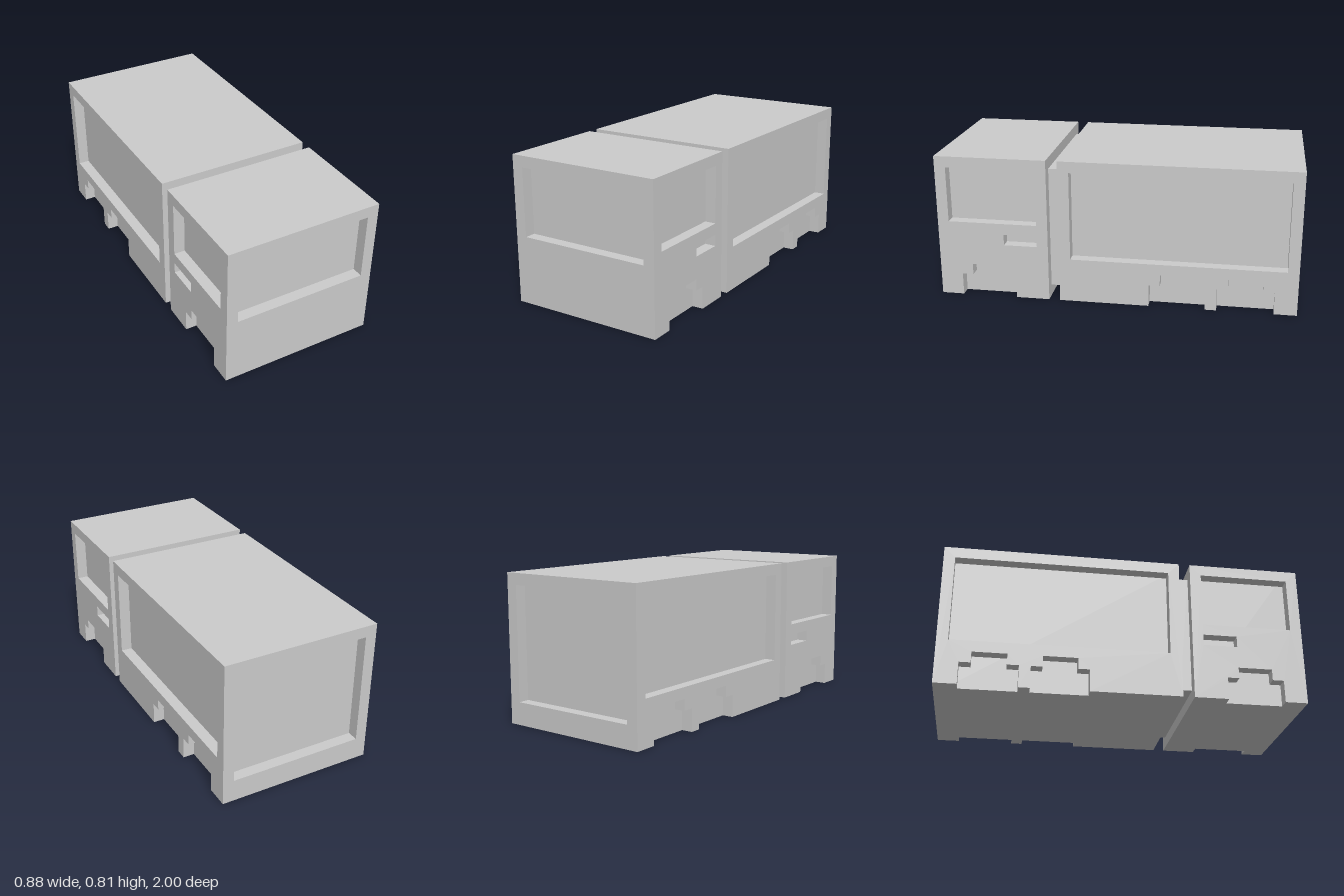
import * as THREE from 'three';

const U = 1 / 16; // block grid: all measures below are in blocks
const material = new THREE.MeshStandardMaterial({ color: 0xcccccc, flatShading: true });

function add(parent, name, geometry) {
  const mesh = new THREE.Mesh(geometry, material);
  mesh.name = name;
  parent.add(mesh);
  return mesh;
}

// Box given by its extents along each axis
function block(parent, name, [x0, x1], [y0, y1], [z0, z1]) {
  const mesh = add(parent, name, new THREE.BoxGeometry((x1 - x0) * U, (y1 - y0) * U, (z1 - z0) * U));
  mesh.position.set((x0 + x1) / 2 * U, (y0 + y1) / 2 * U, (z0 + z1) / 2 * U);
}

const points = (list) => list.map(([z, y]) => new THREE.Vector2(-z * U, y * U));

// Side skin, one block thick, with stepped wheel arches and rectangular recesses
function sideSkins(parent, [back, front], arches, recesses) {
  const outline = [[front, 0]];
  for (const a of arches) { // a = front end of a five-block arch
    outline.push([a, 0], [a, 2], [a - 1, 2], [a - 1, 3], [a - 4, 3], [a - 4, 2], [a - 5, 2], [a - 5, 0]);
  }
  outline.push([back, 0], [back, 13], [front, 13]);
  const shape = new THREE.Shape(points(outline));
  for (const [z0, z1, y0, y1] of recesses) {
    shape.holes.push(new THREE.Path(points([[z0, y0], [z0, y1], [z1, y1], [z1, y0]])));
  }
  const geometry = new THREE.ExtrudeGeometry(shape, { depth: U, bevelEnabled: false });
  geometry.rotateY(Math.PI / 2);
  add(parent, 'leftSide', geometry).position.x = 6 * U;
  add(parent, 'rightSide', geometry).position.x = -7 * U;
}

// End wall: sill and header around a full-width recess
function endWall(parent, name, z, y0, y1) {
  block(parent, name + 'Sill', [-6, 6], [0, y0], z);
  block(parent, name + 'Header', [-6, 6], [y1, 13], z);
}

export function createModel() {
  const model = new THREE.Group();
  model.name = 'boxTruck';

  // Cab with windscreen, side windows, door handles and one axle
  const cab = new THREE.Group();
  cab.name = 'cab';
  block(cab, 'cabCore', [-6, 6], [0, 13], [6, 15]);
  endWall(cab, 'windscreen', [15, 16], 6, 12);
  sideSkins(cab, [6, 16], [14], [[7, 15, 7, 12], [7, 10, 5, 6]]);

  // Cargo box with side panels, rear door and two axles
  const cargo = new THREE.Group();
  cargo.name = 'cargoBox';
  block(cargo, 'cargoCore', [-6, 6], [0, 13], [-15, 5]);
  endWall(cargo, 'rearDoor', [-16, -15], 2, 12);
  sideSkins(cargo, [-16, 5], [-3, -9], [[-15, 4, 4, 12]]);

  // Narrow joint between cab and cargo box
  block(model, 'coupling', [-6, 6], [1, 12], [5, 6]);

  model.add(cab, cargo);
  return model;
}
